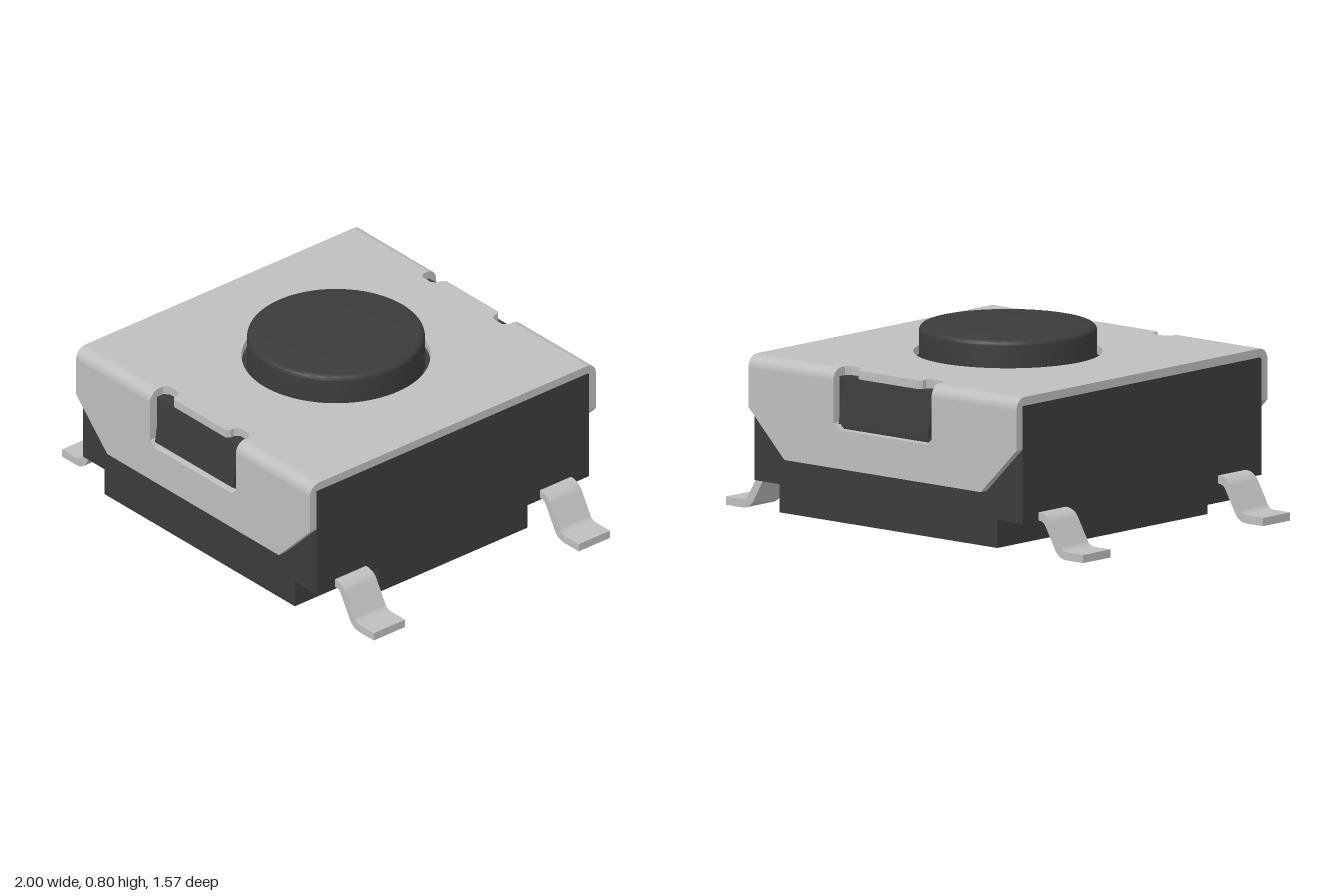
import * as THREE from 'three';
import { toCreasedNormals } from 'three/addons/utils/BufferGeometryUtils.js';

const metal = new THREE.MeshStandardMaterial({ color: 0xbebebe });
metal.name = 'metal';
const plastic = new THREE.MeshStandardMaterial({ color: 0x3b3b3b });
plastic.name = 'darkPlastic';

const shapeOf = pts => new THREE.Shape(pts.map(p => new THREE.Vector2(p[0], p[1])));

// Extrusion along z starting at z = 0, smooth over shallow angles only
function extrude(shape, depth) {
  const g = new THREE.ExtrudeGeometry(shape, { depth, bevelEnabled: false, curveSegments: 48 });
  return toCreasedNormals(g, 0.6);
}

function part(name, geometry, material, parent) {
  const mesh = new THREE.Mesh(geometry, material);
  mesh.name = name;
  parent.add(mesh);
  return mesh;
}

// Points of an arc around (cx, cy)
function arc(cx, cy, r, from, to, n = 8) {
  return Array.from({ length: n + 1 }, (_, i) => {
    const a = from + (to - from) * i / n;
    return [cx + r * Math.cos(a), cy + r * Math.sin(a)];
  });
}

const W = 0.75;        // half width of the body
const OUT = 0.787;     // outer face of the cover flaps
const T = 0.037;       // sheet thickness
const TOP = 0.687;     // top of the cover
const R = 0.05;        // outer bend radius
const SLOT = 0.275;    // half width of the flap window

function addBody(group) {
  const upper = part('bodyUpper', new THREE.BoxGeometry(2 * W, 0.5, 2 * W), plastic, group);
  upper.position.y = 0.4;
  // Foot with a notch cut from each corner
  const a = 0.61, b = 0.41;
  const foot = extrude(shapeOf([
    [a, -W], [a, -b], [W, -b], [W, b], [a, b], [a, W],
    [-a, W], [-a, b], [-W, b], [-W, -b], [-a, -b], [-a, -W],
  ]), 0.12);
  foot.rotateX(-Math.PI / 2).translate(0, 0.03, 0);
  part('bodyFoot', foot, plastic, group);
}

function addButton(group) {
  const r = 0.372, e = 0.022;
  const profile = [[r, 0.64], ...arc(r - e, 0.8 - e, e, 0, Math.PI / 2, 6), [0, 0.8]];
  const g = new THREE.LatheGeometry(profile.map(p => new THREE.Vector2(p[0], p[1])), 72);
  part('button', toCreasedNormals(g, 0.6), plastic, group);
}

function addCoverTop(group) {
  const z = OUT - R;
  // Edge with two small relief cuts beside the centre tab
  const half = [[SLOT, z], [SLOT, 0.715], [0.255, 0.695], [0.2, 0.695], [0.18, 0.715], [0.18, 0.735], [0.165, 0.75]];
  const edge = [[W, z], ...half, ...half.slice().reverse().map(p => [-p[0], p[1]]), [-W, z]];
  const shape = shapeOf([...edge, ...edge.map(p => [-p[0], -p[1]])]);
  shape.holes.push(new THREE.Path().absarc(0, 0, 0.395, 0, Math.PI * 2, true));
  const g = extrude(shape, T);
  g.rotateX(-Math.PI / 2).translate(0, TOP - T, 0);
  part('coverTop', g, metal, group);
}

function addCoverSide(group, name, turn) {
  const side = new THREE.Group();
  side.name = name;
  side.rotation.y = turn;
  group.add(side);

  // Flap with clipped lower corners and a window open to the bend
  const y = TOP - R, c = 0.025, low = 0.43;
  const flap = extrude(shapeOf([
    [-W, y], [-W, 0.465], [-0.55, 0.265], [0.55, 0.265], [W, 0.465], [W, y],
    [SLOT, y], [SLOT, low + c], [SLOT - c, low], [c - SLOT, low], [-SLOT, low + c], [-SLOT, y],
  ]), T);
  flap.translate(0, 0, OUT - T);
  part('coverFlap', flap, metal, side);

  // Rounded bend on both sides of the window
  const bend = shapeOf([
    ...arc(OUT - R, y, R, 0, Math.PI / 2),
    ...arc(OUT - R, y, R - T, Math.PI / 2, 0),
  ]);
  for (const s of [-1, 1]) {
    const g = extrude(bend, W - SLOT);
    g.rotateY(-Math.PI / 2).translate(s > 0 ? W : -SLOT, 0, 0);
    part('coverBend', g, metal, side);
  }

  // Sloping catch that fills the window
  const wedge = extrude(shapeOf([[0.74, 0.455], [0.782, 0.455], [0.752, 0.65], [0.74, 0.65]]), 0.5);
  wedge.rotateY(-Math.PI / 2).translate(0.25, 0, 0);
  part('catch', wedge, plastic, side);
}

function addLegs(group) {
  // S-shaped strip: outer flat, bend down, slope, bend level, foot
  const r = 0.055, t = 0.0175, a = Math.PI / 3, yTop = 0.1675, x0 = 0.757;
  const drop = yTop - t, len = (drop - 2 * r * (1 - Math.cos(a))) / Math.sin(a);
  const x1 = x0 + 2 * r * Math.sin(a) + len * Math.cos(a);
  const line = off => [
    [0.68, yTop + off],
    ...arc(x0, yTop - r, r + off, Math.PI / 2, Math.PI / 2 - a),
    ...arc(x1, t + r, r - off, 1.5 * Math.PI - a, 1.5 * Math.PI),
    [1, t + off],
  ];
  const g = extrude(shapeOf([...line(-t), ...line(t).reverse()]), 0.172);
  g.translate(0, 0, -0.086);
  for (const sx of [-1, 1]) for (const sz of [-1, 1]) {
    const leg = part(`${sz > 0 ? 'front' : 'back'}${sx > 0 ? 'Left' : 'Right'}Leg`, g, metal, group);
    leg.position.z = sz * 0.564;
    leg.rotation.y = sx > 0 ? 0 : Math.PI;
  }
}

export function createModel() {
  const group = new THREE.Group();
  group.name = 'pushSwitch';
  addBody(group);
  addButton(group);
  addCoverTop(group);
  addCoverSide(group, 'frontCover', 0);
  addCoverSide(group, 'backCover', Math.PI);
  addLegs(group);
  return group;
}
